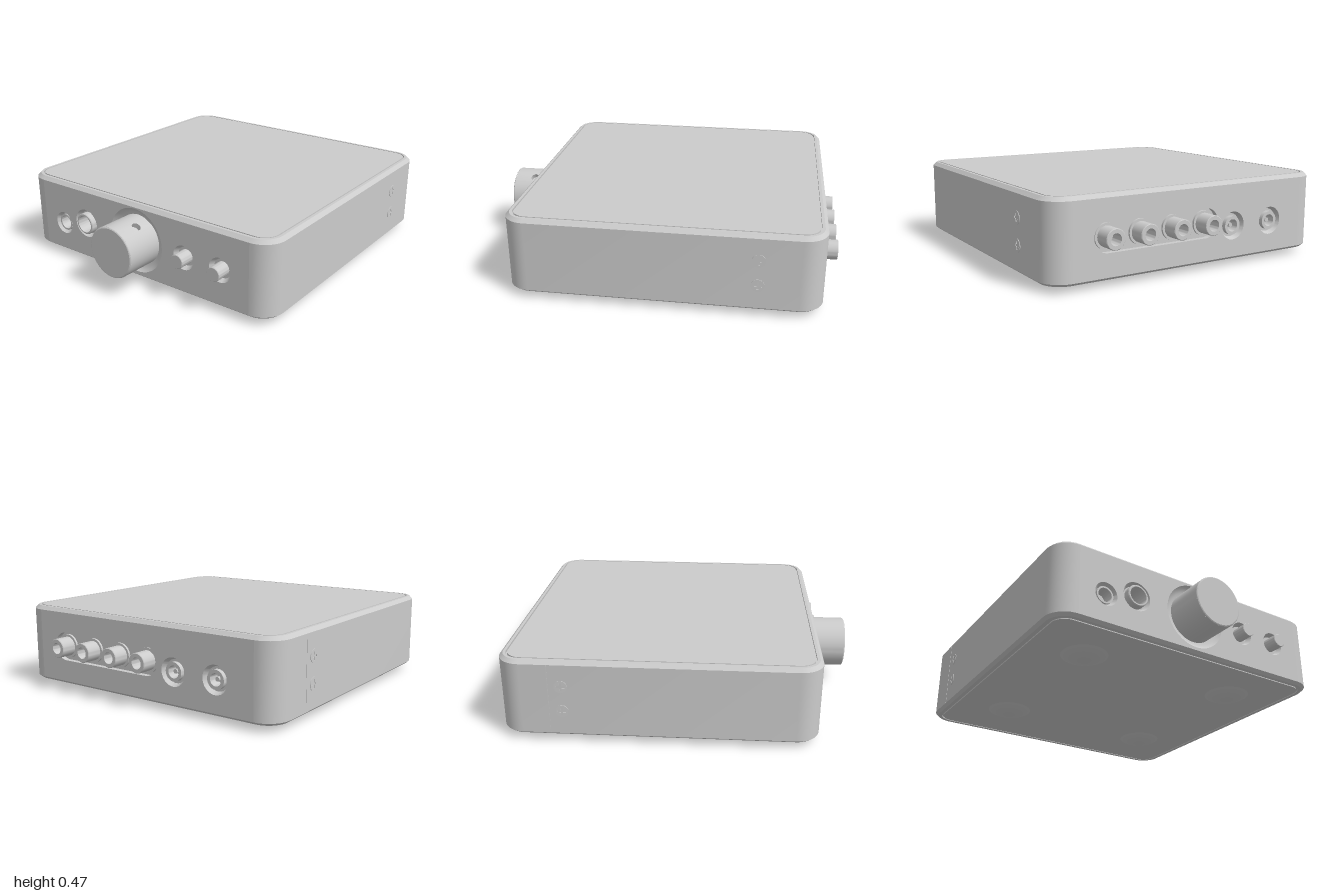
import * as THREE from 'three';
import { toCreasedNormals } from 'three/addons/utils/BufferGeometryUtils.js';

const HX = 0.88, HZ = 0.865, CZ = -0.065, CORNER = 0.13;
const Y0 = 0.05, Y1 = 0.455;
const SEG = 48;
const material = new THREE.MeshStandardMaterial({ color: 0xcccccc });

function add(parent, name, geometry, x = 0, y = 0, z = 0) {
  const mesh = new THREE.Mesh(geometry, material);
  mesh.name = name;
  mesh.position.set(x, y, z);
  parent.add(mesh);
  return mesh;
}

// Revolved part whose axis points along +z; points are [radius, height]
function turned(points, start = 0, length = Math.PI * 2) {
  const lathe = new THREE.LatheGeometry(points.map(p => new THREE.Vector2(...p)), SEG, start, length);
  return toCreasedNormals(lathe.rotateX(Math.PI / 2), 0.5);
}

// Casing lofted through rounded rectangles, open where the front and back panels sit
function casingGeometry() {
  const profile = [ // [inset, y]
    [0.048, 0.035], [0.048, 0.042], [0.04, 0.042], [0.04, 0.035], [0.018, 0.035],
    [0, Y0], [0, Y1],
    [0.02, 0.475], [0.036, 0.475], [0.036, 0.463], [0.044, 0.463], [0.044, 0.475],
  ];
  const n = 10, wall = 5, count = 4 * (n + 1);
  const rings = profile.map(([d, y]) => {
    const ring = [];
    for (let k = 0; k < 4; k++) {
      const sx = k === 0 || k === 3 ? 1 : -1, sz = k < 2 ? 1 : -1;
      for (let i = 0; i <= n; i++) {
        const a = (k + i / n) * Math.PI / 2, r = CORNER - d;
        ring.push([sx * (HX - CORNER) + r * Math.cos(a), y, CZ + sz * (HZ - CORNER) + r * Math.sin(a)]);
      }
    }
    return ring;
  });
  const pos = [];
  const tri = (a, b, c) => pos.push(...a, ...b, ...c);
  for (let j = 0; j < rings.length - 1; j++) {
    for (let i = 0; i < count; i++) {
      if (j === wall && (i === n || i === n + 2 * (n + 1))) continue;
      const k = (i + 1) % count;
      tri(rings[j][i], rings[j + 1][i], rings[j][k]);
      tri(rings[j][k], rings[j + 1][i], rings[j + 1][k]);
    }
  }
  const bottom = rings[0], top = rings[rings.length - 1];
  for (let i = 0; i < count; i++) {
    const k = (i + 1) % count;
    tri([0, profile[0][1], CZ], bottom[i], bottom[k]);
    tri([0, 0.475, CZ], top[k], top[i]);
  }
  const g = new THREE.BufferGeometry();
  g.setAttribute('position', new THREE.Float32BufferAttribute(pos, 3));
  return toCreasedNormals(g, 0.35);
}

function circle(x, y, r) {
  return new THREE.Path().absarc(x, y, r, 0, Math.PI * 2, true);
}

function rectangle(x0, y0, x1, y1) {
  return new THREE.Shape([[x0, y0], [x1, y0], [x1, y1], [x0, y1]].map(p => new THREE.Vector2(...p)));
}

function stadium(x0, x1, y, r) {
  return new THREE.Shape()
    .absarc(x1, y, r, -Math.PI / 2, Math.PI / 2, false)
    .absarc(x0, y, r, Math.PI / 2, Math.PI * 1.5, false);
}

// Wall panel with openings, its outer face on z = 0
function panelGeometry(holes) {
  const shape = rectangle(CORNER - HX, Y0, HX - CORNER, Y1);
  shape.holes.push(...holes);
  const g = new THREE.ExtrudeGeometry(shape, { depth: 0.03, bevelEnabled: false, curveSegments: SEG / 2 });
  return toCreasedNormals(g.translate(0, 0, -0.03), 0.5);
}

// Volume knob with a drilled set-screw hole in its side
function buildKnob() {
  const knob = new THREE.Group();
  knob.name = 'volumeKnob';
  const R = 0.147, phi = Math.PI - 0.535, half = 0.2, low = -0.03, high = 0.193, holeZ = 0.07, holeR = 0.025;
  add(knob, 'knobSide', turned([[R, low], [R, high]], phi + half, Math.PI * 2 - 2 * half));
  add(knob, 'knobFace', turned([[R, high], [R - 0.002, 0.197], [R - 0.007, 0.2], [0, 0.2]]));
  // strip of the side around the hole, bent onto the cylinder
  const strip = rectangle(-half * R, low, half * R, high);
  strip.holes.push(circle(0, holeZ, holeR));
  const g = new THREE.ShapeGeometry(strip, 16);
  const p = g.attributes.position, nrm = g.attributes.normal;
  for (let i = 0; i < p.count; i++) {
    const a = phi + p.getX(i) / R, z = p.getY(i);
    p.setXYZ(i, R * Math.sin(a), -R * Math.cos(a), z);
    nrm.setXYZ(i, Math.sin(a), -Math.cos(a), 0);
  }
  add(knob, 'knobHoleStrip', g);
  const out = new THREE.Vector3(Math.sin(phi), -Math.cos(phi), 0);
  const hole = add(knob, 'setScrewHole', turned([[holeR, 0], [holeR, -0.03], [0, -0.03]]));
  hole.position.copy(out).multiplyScalar(R).setZ(holeZ);
  hole.quaternion.setFromUnitVectors(new THREE.Vector3(0, 0, 1), out);
  return knob;
}

function buildFront() {
  const front = new THREE.Group();
  front.name = 'frontPanelGroup';
  front.position.z = CZ + HZ;
  const sockets = [
    { name: 'knobRecess', x: -0.01, y: 0.258, r: 0.19, points: [[0.19, 0], [0.178, -0.014], [0.16, -0.024], [0.14, -0.028]] },
    { name: 'smallJack', x: -0.59, y: 0.215, r: 0.067,
      points: [[0.067, 0], [0.05, -0.025], [0.05, -0.012], [0.04, -0.012], [0.036, -0.08], [0, -0.08]] },
    { name: 'headphoneJack', x: -0.4, y: 0.26, r: 0.085,
      points: [[0.085, 0], [0.07, -0.025], [0.063, -0.025], [0.063, 0.011], [0.059, 0.015], [0.051, 0.015], [0.046, -0.09], [0, -0.09]] },
  ];
  for (const x of [0.33, 0.57]) {
    sockets.push({ name: 'pushButton', x, y: 0.25, r: 0.07,
      points: [[0.07, 0], [0.055, -0.028], [0.04, -0.028], [0.04, 0.057], [0.037, 0.06], [0, 0.06]] });
  }
  add(front, 'frontPanel', panelGeometry(sockets.map(s => circle(s.x, s.y, s.r))));
  for (const s of sockets) add(front, s.name, turned(s.points), s.x, s.y);
  const knob = buildKnob();
  knob.position.set(-0.01, 0.258, 0);
  front.add(knob);
  return front;
}

function buildBack() {
  const back = new THREE.Group();
  back.name = 'backPanelGroup';
  back.position.z = CZ - HZ;
  back.rotation.y = Math.PI; // local x is mirrored from here on
  const plugY = 0.258, jackY = 0.225, jackR = 0.078, jacks = [0.25, 0.52];
  const slot = stadium(-0.55, 0.06, plugY, 0.082);
  add(back, 'backPanel', panelGeometry([slot, ...jacks.map(x => circle(x, jackY, jackR))]));
  add(back, 'slotFloor', new THREE.ShapeGeometry(slot, SEG / 2), 0, 0, -0.03);
  for (const x of [-0.55, -0.347, -0.143, 0.06]) {
    add(back, 'lineSocket', turned([[0.068, -0.03], [0.068, -0.018], [0.055, -0.018], [0.055, 0.067],
      [0.052, 0.07], [0.032, 0.07], [0.03, -0.01], [0, -0.01]]), x, plugY);
  }
  for (const x of jacks) {
    add(back, 'backJack', turned([[jackR, 0], [0.065, -0.028], [0.052, -0.028], [0.052, -0.004],
      [0.034, -0.004], [0.03, -0.06], [0.012, -0.06], [0.012, -0.02], [0, -0.02]]), x, jackY);
  }
  return back;
}

// Flat screw head with a cross-shaped drive
function screwGeometry() {
  const disc = new THREE.Shape().absarc(0, 0, 0.036, 0, Math.PI * 2, false);
  const a = 0.006, b = 0.023;
  const cross = [[a, a], [a, b], [-a, b], [-a, a], [-b, a], [-b, -a], [-a, -a], [-a, -b], [a, -b], [a, -a], [b, -a], [b, a]];
  disc.holes.push(new THREE.Path(cross.map(p => new THREE.Vector2(...p))));
  return new THREE.ExtrudeGeometry(disc, { depth: 0.003, bevelEnabled: false, curveSegments: 16 });
}

export function createModel() {
  const model = new THREE.Group();
  model.name = 'desktopAmplifier';
  add(model, 'casing', casingGeometry());
  model.add(buildFront(), buildBack());

  // Screws on both sides
  const screw = screwGeometry();
  for (const side of [1, -1]) {
    for (const y of [0.185, 0.33]) {
      add(model, 'sideScrew', screw, side * HX, y, -0.58).rotation.y = side * Math.PI / 2;
    }
  }
  add(model, 'rearSeam', new THREE.BoxGeometry(0.003, Y1 - Y0, 0.004), -HX, (Y0 + Y1) / 2, -0.65);

  // Domed feet
  const r = 0.135, h = 0.037, R = (r * r + h * h) / (2 * h), arc = Math.asin(r / R);
  const dome = new THREE.SphereGeometry(R, 40, 8, 0, Math.PI * 2, Math.PI - arc, arc);
  for (const x of [-0.505, 0.505]) {
    for (const z of [0.44, -0.505]) add(model, 'foot', dome, x, R, z);
  }
  return model;
}
